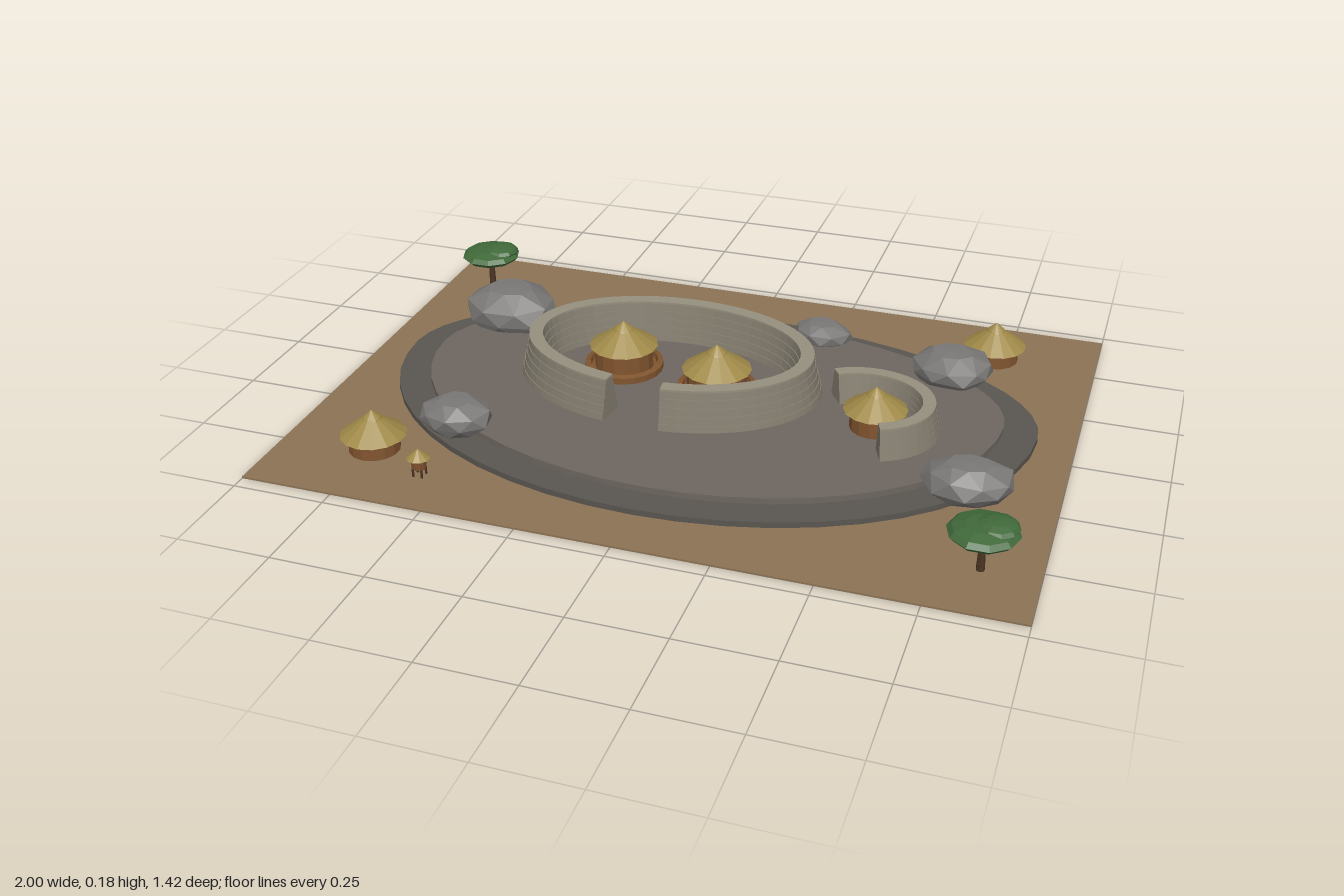
import * as THREE from 'three';

const mat = (color) => new THREE.MeshStandardMaterial({ color, flatShading: true, roughness: 0.95 });
const M = {
  earth: mat(0x8b7355), lower: mat(0x5a5650), upper: mat(0x6e6760), wall: mat(0x878072), cap: mat(0x968f7e),
  rock: mat(0x7a7876), thatch: mat(0xa08a48), mud: mat(0x80542f), leaf: mat(0x40693a), trunk: mat(0x4a3423),
};

function add(parent, name, geometry, material, x = 0, y = 0, z = 0) {
  const mesh = new THREE.Mesh(geometry, material);
  mesh.name = name;
  mesh.position.set(x, y, z);
  parent.add(mesh);
  return mesh;
}

function group(parent, name, x, y, z) {
  const g = new THREE.Group();
  g.name = name;
  g.position.set(x, y, z);
  parent.add(g);
  return g;
}

// Small seeded generator
function seeded(seed) {
  let s = seed * 7919 + 17;
  return () => (s = (s * 16807) % 2147483647) / 2147483647;
}

// Egg-shaped slab: separate depths for the back and front halves
function slab(rx, back, front, cz, h) {
  const pts = [];
  for (let i = 0; i < 48; i++) {
    const a = (i / 48) * Math.PI * 2, s = Math.sin(a);
    pts.push(new THREE.Vector2(rx * Math.cos(a), -cz + s * (s > 0 ? back : front)));
  }
  return new THREE.ExtrudeGeometry(new THREE.Shape(pts), { depth: h, bevelEnabled: false }).rotateX(-Math.PI / 2);
}

// Sweeps a counter-clockwise (offset, height) section along an elliptical arc
function sweepArc(section, cx, cz, rx, rz, a0, a1, steps) {
  const pos = [], idx = [], n = section.length;
  for (let i = 0; i <= steps; i++) {
    const a = a0 + ((a1 - a0) * i) / steps;
    const nrm = new THREE.Vector2(Math.cos(a) / rx, Math.sin(a) / rz).normalize();
    for (const p of section) {
      pos.push(cx + rx * Math.cos(a) + nrm.x * p.x, p.y, cz + rz * Math.sin(a) + nrm.y * p.x);
    }
  }
  for (let i = 0; i < steps; i++) {
    for (let j = 0; j < n; j++) {
      const a = i * n + j, b = i * n + ((j + 1) % n), c = a + n, d = b + n;
      idx.push(a, b, c, b, d, c);
    }
  }
  for (const [a, b, c] of THREE.ShapeUtils.triangulateShape(section, [])) {
    const e = steps * n;
    idx.push(a, c, b, e + a, e + b, e + c);
  }
  const g = new THREE.BufferGeometry();
  g.setAttribute('position', new THREE.Float32BufferAttribute(pos, 3));
  g.setIndex(idx);
  g.computeVertexNormals();
  return g;
}

// Battered dry-stone wall with stepped courses and a paler coping
function stoneWall(parent, name, y0, y1, base, top, ...arc) {
  const g = group(parent, name, 0, 0, 0);
  const courses = 5, right = [];
  for (let i = 0; i < courses; i++) {
    const w = base + ((top - base) * i) / (courses - 1);
    const h = (y1 - y0) / courses;
    right.push(new THREE.Vector2(w, y0 + i * h), new THREE.Vector2(w - 0.003, y0 + (i + 1) * h));
  }
  const left = right.map((p) => new THREE.Vector2(-p.x, p.y)).reverse();
  add(g, 'stoneCourses', sweepArc([...right, ...left], ...arc), M.wall);
  const t = top - 0.002;
  const cap = [[t, y1 - 0.002], [t, y1 + 0.004], [-t, y1 + 0.004], [-t, y1 - 0.002]].map((p) => new THREE.Vector2(...p));
  add(g, 'coping', sweepArc(cap, ...arc), M.cap);
}

// Round hut with a thatched cone, optionally on a low mud ring
function hut(parent, x, y, z, wallR, wallH, roofR, roofH, ringR = 0) {
  const g = group(parent, 'hut', x, y, z);
  add(g, 'hutWall', new THREE.CylinderGeometry(wallR, wallR * 1.03, wallH, 14), M.mud, 0, wallH / 2);
  const roof = [[0, 0], [roofR, 0], [roofR * 0.3, roofH * 0.64], [roofR * 0.27, roofH * 0.7], [0, roofH]];
  add(g, 'thatchRoof', new THREE.LatheGeometry(roof.map((p) => new THREE.Vector2(...p)), 14), M.thatch, 0, wallH - 0.006);
  if (ringR) {
    const ring = [[wallR, 0], [ringR, 0], [ringR, 0.02], [ringR - 0.015, 0.024], [ringR - 0.018, 0.008], [wallR, 0.008]];
    add(g, 'mudRing', new THREE.LatheGeometry(ring.map((p) => new THREE.Vector2(...p)), 20), M.mud);
  }
}

// Faceted boulder: irregular rings closed by flat ends
function boulder(parent, x, z, rx, rz, y0, y1, seed) {
  const rnd = seeded(seed), sides = 8, pos = [], idx = [];
  const rings = [[0.72, 0], [1, 0.32], [0.93, 0.66], [0.5, 0.97]];
  const twist = rnd() * 6;
  rings.forEach(([r, h], k) => {
    for (let i = 0; i < sides; i++) {
      const a = twist + ((i + (k % 2) * 0.5) / sides) * Math.PI * 2, q = r * (0.9 + 0.16 * rnd());
      pos.push(Math.cos(a) * q * rx, y0 + (y1 - y0) * (h + (k === 1 || k === 2 ? 0.12 * (rnd() - 0.5) : 0)), Math.sin(a) * q * rz);
    }
  });
  pos.push(0, y0, 0, 0, y1, 0);
  const bottom = rings.length * sides, peak = bottom + 1;
  for (let i = 0; i < sides; i++) {
    const j = (i + 1) % sides;
    for (let k = 0; k < rings.length - 1; k++) {
      const a = k * sides + i, b = k * sides + j, c = a + sides, d = b + sides;
      if (k % 2) idx.push(a, d, b, a, c, d);
      else idx.push(a, c, b, b, c, d);
    }
    const t = (rings.length - 1) * sides;
    idx.push(bottom, i, j, peak, t + j, t + i);
  }
  const g = new THREE.BufferGeometry();
  g.setAttribute('position', new THREE.Float32BufferAttribute(pos, 3));
  g.setIndex(idx);
  g.computeVertexNormals();
  add(parent, 'boulder', g, M.rock, x, 0, z);
}

// Flat-crowned tree
function tree(parent, x, z) {
  const g = group(parent, 'tree', x, 0.004, z);
  add(g, 'trunk', new THREE.CylinderGeometry(0.007, 0.011, 0.1, 7), M.trunk, 0, 0.05);
  const crown = new THREE.SphereGeometry(1, 10, 6);
  add(g, 'crown', crown, M.leaf, 0, 0.108).scale.set(0.088, 0.024, 0.088);
  add(g, 'upperCrown', crown, M.leaf, 0.03, 0.122, -0.008).scale.set(0.054, 0.019, 0.054);
}

export function createModel() {
  const model = new THREE.Group();
  model.name = 'stoneEnclosureVillage';

  // Ground and terraces
  add(model, 'ground', new THREE.BoxGeometry(2, 0.005, 1.424), M.earth, 0, 0.0025);
  add(model, 'lowerTerrace', slab(0.9, 0.44, 0.65, -0.08, 0.017), M.lower, 0, 0.004);
  add(model, 'upperTerrace', slab(0.81, 0.39, 0.57, -0.08, 0.02), M.upper, 0, 0.018);

  // Enclosure walls
  const rad = THREE.MathUtils.degToRad;
  stoneWall(model, 'greatEnclosure', 0.034, 0.147, 0.043, 0.021, -0.115, -0.068, 0.385, 0.25, rad(103), rad(441), 52);
  stoneWall(model, 'smallEnclosure', 0.034, 0.119, 0.034, 0.019, 0.455, 0.025, 0.17, 0.148, rad(-128), rad(66), 24);

  // Huts inside and outside the walls
  hut(model, -0.26, 0.036, -0.09, 0.08, 0.078, 0.096, 0.072, 0.11);
  hut(model, 0.03, 0.036, -0.035, 0.08, 0.078, 0.096, 0.072, 0.11);
  hut(model, 0.485, 0.036, 0.022, 0.066, 0.062, 0.086, 0.066);
  hut(model, -0.745, 0.004, 0.48, 0.066, 0.052, 0.088, 0.07);
  hut(model, 0.713, 0.004, -0.52, 0.066, 0.052, 0.088, 0.07);

  // Raised grain store
  const store = group(model, 'grainStore', -0.573, 0.004, 0.565);
  for (const sx of [-1, 1]) for (const sz of [-1, 1]) {
    add(store, 'stilt', new THREE.CylinderGeometry(0.003, 0.003, 0.026, 6), M.trunk, sx * 0.012, 0.013, sz * 0.012);
  }
  add(store, 'grainBin', new THREE.CylinderGeometry(0.021, 0.019, 0.03, 10), M.mud, 0, 0.039);
  add(store, 'binRoof', new THREE.ConeGeometry(0.031, 0.026, 10), M.thatch, 0, 0.066);

  // Boulders around the terrace edge
  boulder(model, -0.68, -0.27, 0.14, 0.12, 0.015, 0.143, 1);
  boulder(model, 0.625, -0.32, 0.118, 0.1, 0.02, 0.117, 2);
  boulder(model, 0.772, 0.245, 0.118, 0.094, 0.02, 0.113, 3);
  boulder(model, -0.575, 0.335, 0.097, 0.087, 0.02, 0.106, 4);
  boulder(model, 0.225, -0.44, 0.09, 0.072, 0.02, 0.085, 5);

  tree(model, -0.86, -0.52);
  tree(model, 0.855, 0.535);
  return model;
}
